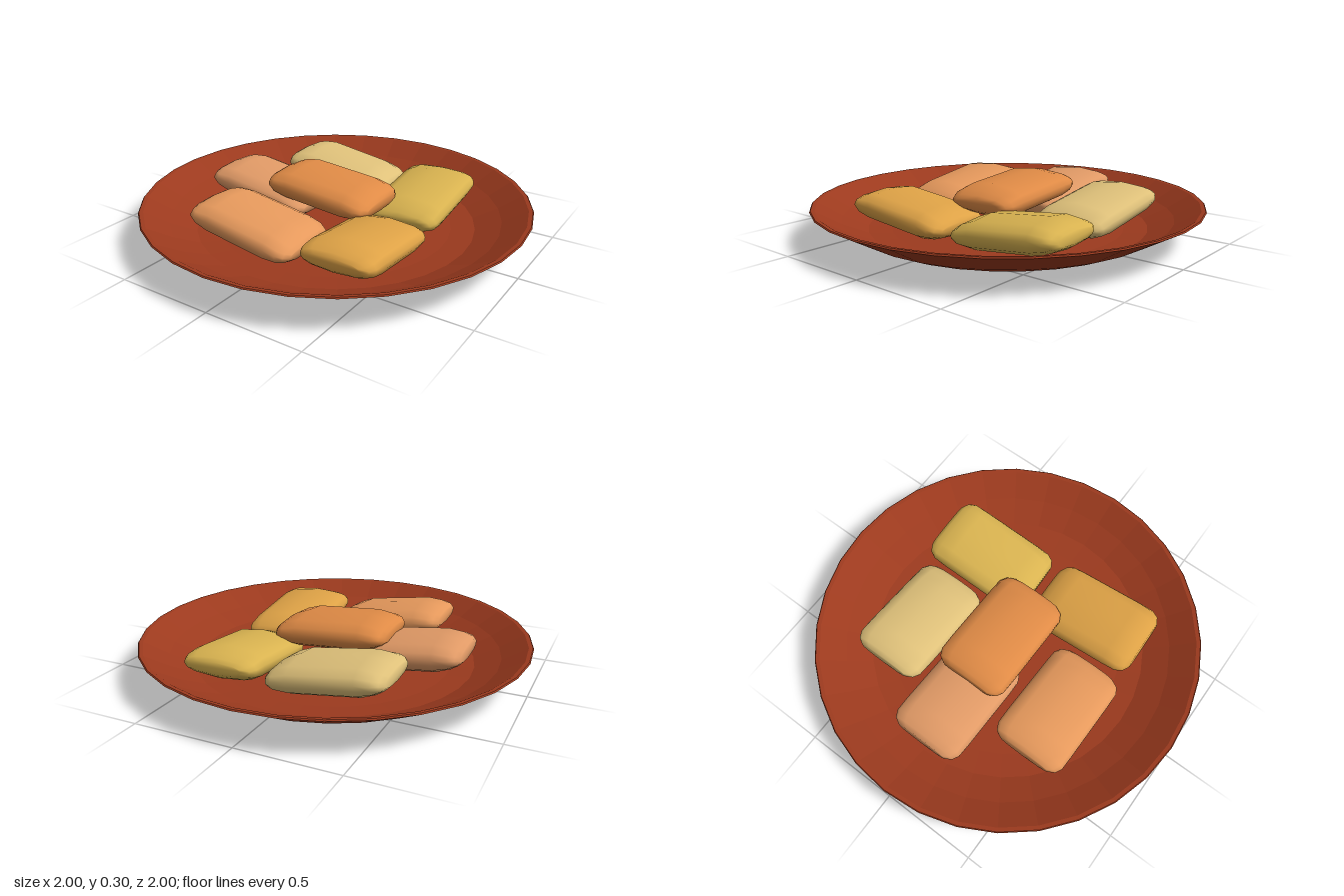
import * as THREE from 'three';

const paint = (color, flatShading = false) => {
  const m = new THREE.MeshStandardMaterial({ flatShading });
  m.color.set(color);
  return m;
};

// Pillow-shaped piece, long along x: one cross-section scaled at several stations
function pillowGeometry() {
  const quarter = [[1, 0.15], [0.92, 0.5], [0.66, 0.82]];
  const half = [...quarter, [0, 1], ...quarter.slice().reverse().map(([z, y]) => [-z, y])];
  const ring = [...half, ...half.map(([z, y]) => [-z, -y])];
  // x, half width, half height
  const ends = [[0.3, 0.14, 0.03], [0.28, 0.175, 0.045], [0.245, 0.193, 0.062], [0.17, 0.195, 0.083]];
  const stations = [...ends.map(([x, w, h]) => [-x, w, h]), ...ends.slice().reverse()];
  const pos = [], index = [], n = ring.length;
  for (const [x, w, h] of stations) for (const [z, y] of ring) pos.push(x, y * h, z * w);
  for (let s = 0; s < stations.length - 1; s++) {
    for (let i = 0; i < n; i++) {
      const a = s * n + i, b = s * n + (i + 1) % n;
      index.push(a, a + n, b, b, a + n, b + n);
    }
  }
  // closed ends
  const last = (stations.length - 1) * n;
  for (let i = 1; i < n - 1; i++) {
    index.push(0, i, i + 1);
    index.push(last, last + i + 1, last + i);
  }
  const g = new THREE.BufferGeometry();
  g.setAttribute('position', new THREE.Float32BufferAttribute(pos, 3));
  g.setIndex(index);
  g.computeVertexNormals();
  return g;
}

export function createModel() {
  const group = new THREE.Group();

  // Shallow plate: underside, rim, then the inner dish
  const profile = [
    [0, 0], [0.64, 0.005], [0.72, 0.02], [0.79, 0.05], [1, 0.168], [0.995, 0.174], [0.975, 0.172],
    [0.85, 0.1], [0.72, 0.045], [0.6, 0.035], [0, 0.035],
  ].map(([r, y]) => new THREE.Vector2(r, y));
  const plate = new THREE.Mesh(new THREE.LatheGeometry(profile, 32), paint(0x9c3a1e, true));
  plate.name = 'plate';
  group.add(plate);

  // Pieces: name, centre, turn, tilt, colour
  const q = Math.PI / 2;
  const pieces = [
    ['topPiece', [-0.035, 0.208, -0.015], 0, 0.08, 0xe08b46],
    ['sidePiece', [-0.41, 0.15, -0.005], 0, 0.13, 0xe19a66],
    ['frontPiece', [-0.165, 0.15, 0.435], 0, 0.15, 0xe6995c],
    ['backPiece', [-0.2, 0.15, -0.42], 0, 0.14, 0xdfc17a],
    ['backLeftPiece', [0.325, 0.125, -0.35], -q + 0.03, 0.11, 0xd9b350],
    ['frontLeftPiece', [0.36, 0.125, 0.3], q + 0.03, 0.11, 0xdea246],
  ];
  const pillow = pillowGeometry();
  for (const [name, at, turn, tilt, color] of pieces) {
    const piece = new THREE.Mesh(pillow, paint(color));
    piece.name = name;
    piece.position.set(...at);
    piece.rotation.set(0, turn, -tilt, 'YXZ');
    group.add(piece);
  }
  return group;
}
